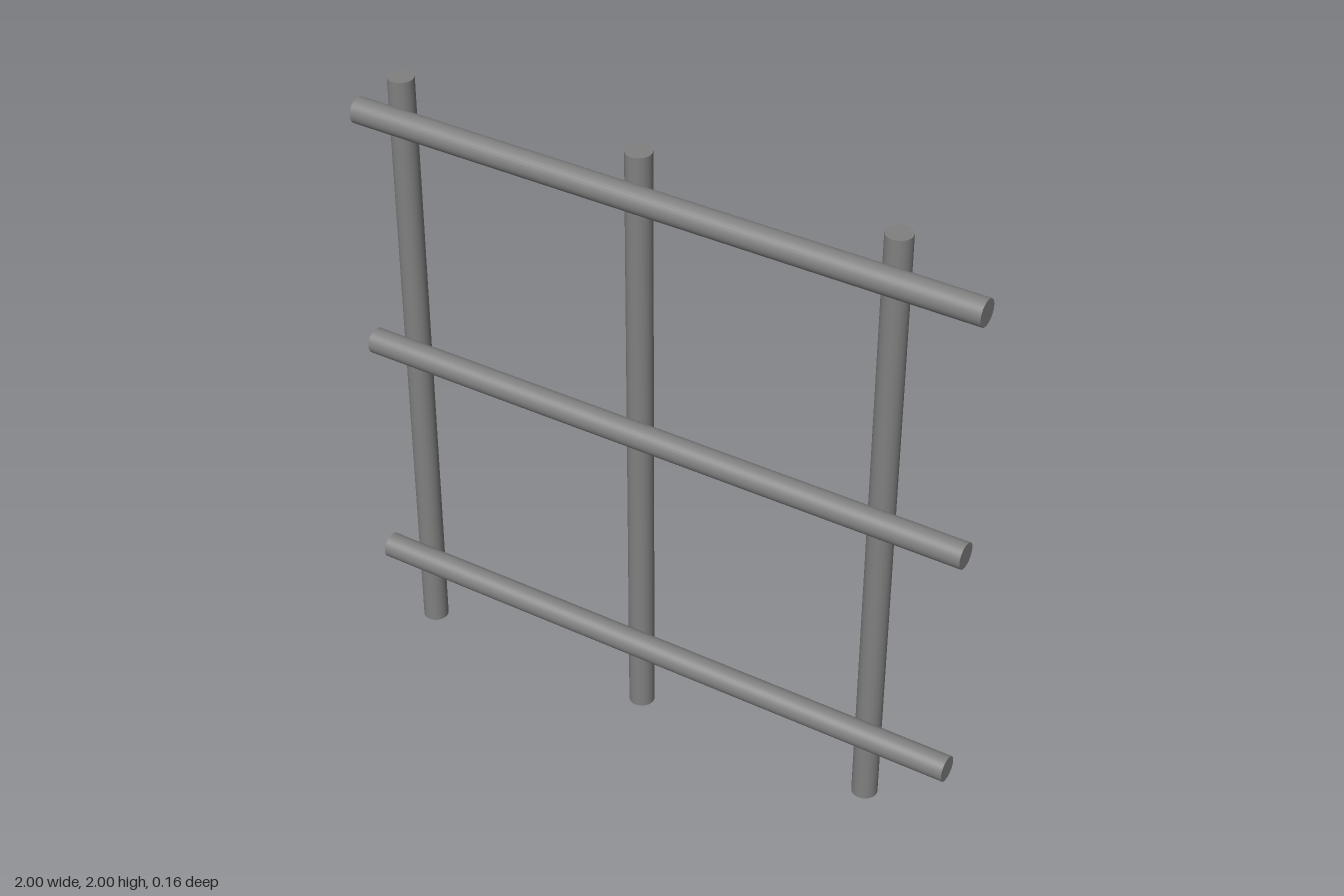
import * as THREE from 'three';

export function createModel() {
  const model = new THREE.Group();
  model.name = 'barLattice';

  const steel = new THREE.MeshStandardMaterial({ color: 0x808080 });
  steel.name = 'greySteel';

  const radius = 0.04;
  const barGeometry = new THREE.CylinderGeometry(radius, radius, 2, 32);

  const addBar = (name, x, y, z) => {
    const bar = new THREE.Mesh(barGeometry, steel);
    bar.name = name;
    bar.position.set(x, y, z);
    model.add(bar);
    return bar;
  };

  // Upright bars at the back
  [-0.9, -0.1, 0.7].forEach((x, i) => addBar(`uprightBar${i + 1}`, x, 1, -radius));

  // Cross bars resting against their front
  [0.3, 1.1, 1.9].forEach((y, i) => {
    addBar(`crossBar${i + 1}`, 0, y, radius).rotation.z = Math.PI / 2;
  });

  return model;
}
